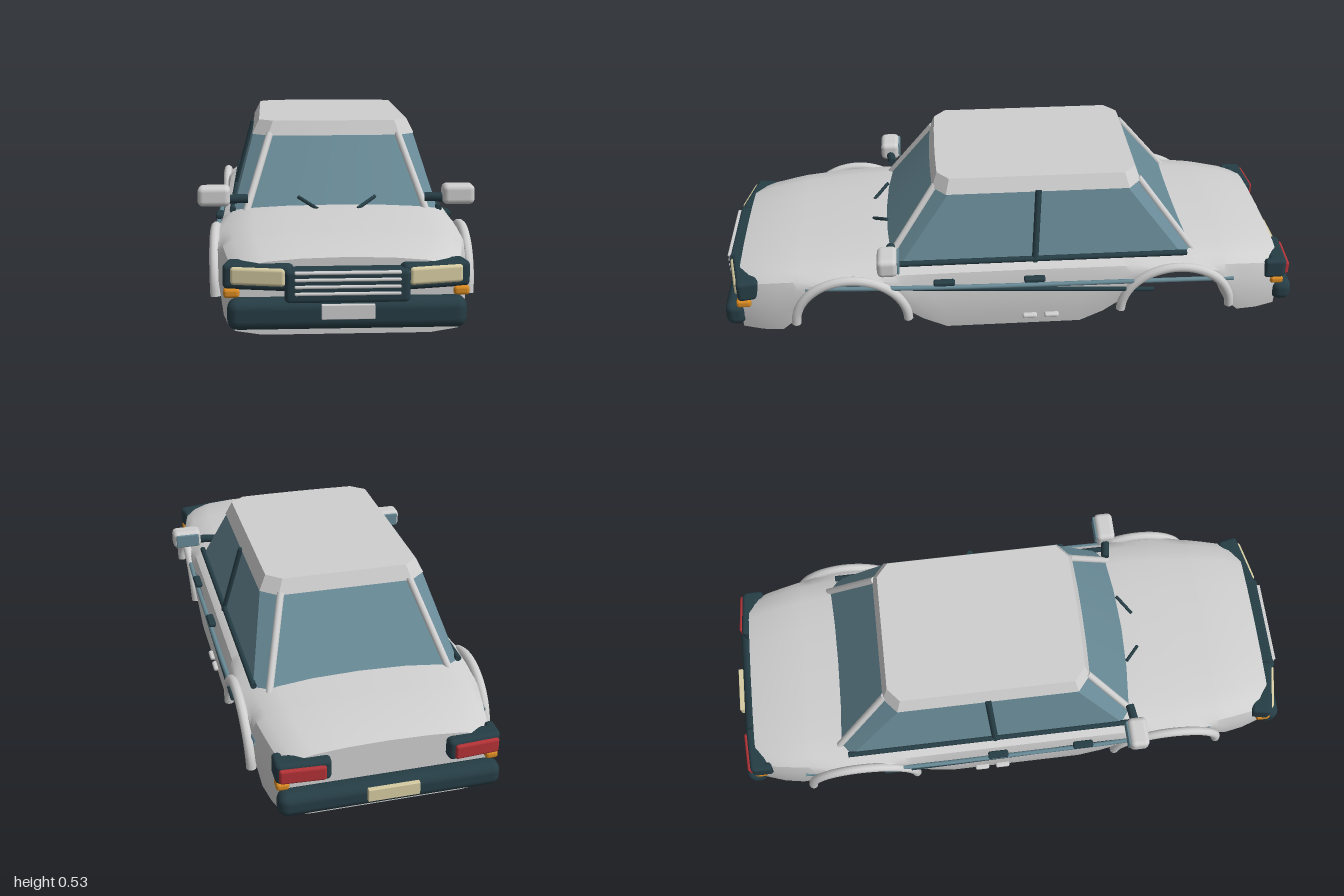
import * as THREE from 'three';
import { toCreasedNormals } from 'three/addons/utils/BufferGeometryUtils.js';
import { RoundedBoxGeometry } from 'three/addons/geometries/RoundedBoxGeometry.js';

const mat = (name, color) => Object.assign(new THREE.MeshStandardMaterial({ color }), { name });

// Piecewise linear lookup in a list of [position, value]
function lookup(list, t) {
  for (let i = 1; i < list.length; i++) {
    const [a, u] = list[i - 1], [b, v] = list[i];
    if (t <= b) return u + (v - u) * (t - a) / (b - a);
  }
  return list[list.length - 1][1];
}

// Skin closed rings of points and cap both ends
function loft(rings, crease) {
  const n = rings[0].length, pos = [], idx = [];
  rings.forEach(r => r.forEach(p => pos.push(...p)));
  for (let i = 0; i < rings.length - 1; i++) {
    for (let j = 0; j < n; j++) {
      const a = i * n + j, b = i * n + (j + 1) % n;
      idx.push(a, b, b + n, a, b + n, a + n);
    }
  }
  [0, rings.length - 1].forEach(k => {
    const c = pos.length / 3;
    pos.push(...[0, 1, 2].map(q => rings[k].reduce((s, p) => s + p[q], 0) / n));
    for (let j = 0; j < n; j++) {
      const a = k * n + j, b = k * n + (j + 1) % n;
      if (k) idx.push(c, a, b); else idx.push(c, b, a);
    }
  });
  const g = new THREE.BufferGeometry();
  g.setAttribute('position', new THREE.Float32BufferAttribute(pos, 3));
  g.setIndex(idx);
  return toCreasedNormals(g, crease);
}

// Complete a half outline whose first and last points lie on x = 0
const mirrorRing = half => [...half, ...half.slice(1, -1).reverse().map(([x, y, z]) => [-x, y, z])];

function bodyGeometry() {
  const width = [[0, .385], [.6, .385], [.75, .372], [.86, .35], [.93, .325]];
  const crown = [[0, .278], [.45, .276], [.6, .268], [.75, .257], [.87, .24], [.93, .225]];
  const floor = [[0, 0], [.23, 0], [.31, .04], [.375, .09]];
  for (let i = 1; i < 12; i++) {
    const a = Math.PI * i / 12;
    floor.push([.555 - .178 * Math.cos(a), .065 + .145 * Math.sin(a)]);
  }
  floor.push([.74, .055], [.79, .005], [.86, 0], [.93, 0]);
  const half = floor.map(f => f[0]);
  const stations = [...half.slice(1).reverse().map(z => -z), ...half];
  return loft(stations.map(z => {
    const d = Math.abs(z), w = lookup(width, d), top = lookup(crown, d), b = lookup(floor, d);
    const s = top - .045, y = t => b + (s - b) * t;
    return mirrorRing([
      [0, b, z], [.74 * w, b, z], [.98 * w, y(.07), z], [w, y(.35), z], [.992 * w, y(.75), z],
      [.96 * w, s, z], [.88 * w, top - .024, z], [.7 * w, top - .011, z], [.4 * w, top - .003, z], [0, top, z]
    ]);
  }), .6);
}

// Outline of the cabin at one height, with cut corners
const cabinRing = (y, edge, w, front, rear, cut, bulge) => mirrorRing([
  [0, y, front + bulge], [edge * .5, y, front + bulge * .75], [edge, y, front], [w, y, front - cut],
  [w, y, rear + cut], [edge, y, rear], [0, y, rear]
]);

export function createModel() {
  const car = new THREE.Group();
  car.name = 'carBody';
  const paint = mat('lightGreyPaint', 0xcfcfcf);
  const glass = mat('blueGlass', 0x678995);
  const dark = mat('darkTrim', 0x263d45);
  const cream = mat('creamLens', 0xd6cca2);
  const orange = mat('orangeLens', 0xd98a22);
  const red = mat('redLens', 0xb23236);

  const add = (name, geometry, material) => {
    const m = new THREE.Mesh(geometry, material);
    m.name = name;
    car.add(m);
    return m;
  };
  const box = (name, material, [w, h, d], [x, y, z], r = .01, turn = 0) => {
    const m = add(name, new RoundedBoxGeometry(w, h, d, 3, Math.min(r, w / 2, h / 2, d / 2)), material);
    m.position.set(x, y, z);
    m.rotation.y = turn;
    return m;
  };
  const rod = (name, material, a, b, r) => {
    const p = new THREE.Vector3(...a), q = new THREE.Vector3(...b), dir = q.clone().sub(p);
    const m = add(name, new THREE.CylinderGeometry(r, r, dir.length(), 12), material);
    m.position.copy(p).add(q).multiplyScalar(.5);
    m.quaternion.setFromUnitVectors(new THREE.Vector3(0, 1, 0), dir.normalize());
    return m;
  };
  const tube = (name, material, points, r) => {
    const curve = new THREE.CatmullRomCurve3(points.map(p => new THREE.Vector3(...p)));
    const m = add(name, new THREE.TubeGeometry(curve, 36, r, 10), material);
    m.material.side = THREE.DoubleSide;
    return m;
  };

  // Shell, glasshouse and roof
  add('body', bodyGeometry(), paint);
  add('windows', loft([
    cabinRing(.23, .3, .343, .435, -.635, .04, .03),
    cabinRing(.485, .215, .272, .255, -.435, .045, .01)
  ], .3), glass);
  add('roof', loft([
    cabinRing(.482, .222, .275, .264, -.442, .045, .006),
    cabinRing(.53, .205, .252, .247, -.422, .04, .004)
  ], .3), paint);

  // Nose: bumper, grille and plate
  box('frontBumper', dark, [.68, .09, .07], [0, .07, .95], .03);
  box('grille', dark, [.355, .1, .07], [0, .15, .945], .015);
  for (let i = 0; i < 4; i++) box('grilleBar', paint, [.3, .009, .016], [0, .132 + i * .02, .979], .004);
  box('frontPlate', paint, [.15, .042, .016], [0, .083, .99], .002);

  // Tail: bumper and plate
  box('rearBumper', dark, [.69, .078, .07], [0, .073, -.95], .03);
  box('rearPlate', cream, [.16, .042, .016], [0, .085, -.99], .002);

  for (const s of [1, -1]) {
    // Lamps wrap back toward the flanks
    box('headlampHousing', dark, [.2, .075, .075], [s * .25, .172, .914], .015, s * .2);
    box('headlamp', cream, [.158, .052, .03], [s * .252, .176, .944], .01, s * .2);
    box('frontIndicator', orange, [.046, .028, .05], [s * .328, .124, .915], .01);
    box('tailLampHousing', dark, [.165, .07, .06], [s * .262, .172, -.927], .015, -s * .06);
    box('tailLampReturn', dark, [.03, .07, .07], [s * .332, .172, -.912], .012);
    box('tailLamp', red, [.14, .048, .024], [s * .268, .17, -.955], .008, -s * .06);
    box('rearIndicator', orange, [.04, .026, .045], [s * .325, .124, -.925], .01);

    // Pillars and belt rail
    rod('frontPillar', paint, [s * .3, .235, .432], [s * .216, .487, .255], .012);
    rod('rearPillar', paint, [s * .298, .235, -.63], [s * .214, .487, -.435], .012);
    rod('centrePillar', dark, [s * .34, .245, -.075], [s * .275, .487, -.09], .011);
    rod('beltRail', dark, [s * .339, .256, .405], [s * .339, .256, -.595], .01);

    // Door mirror
    rod('mirrorArm', dark, [s * .29, .296, .41], [s * .36, .296, .42], .015);
    box('mirror', paint, [.105, .066, .068], [s * .398, .308, .42], .018);
    box('mirrorGlass', glass, [.085, .048, .008], [s * .398, .308, .385], .003);

    // Wheel arch trims
    for (const zc of [.55, -.56]) {
      const pts = [];
      for (let i = 0; i <= 14; i++) {
        const a = Math.PI * i / 14;
        pts.push([s * (.382 + .006 * Math.sin(a)), .062 + .167 * Math.sin(a), zc + .19 * Math.cos(a)]);
      }
      tube('wheelArchTrim', paint, pts, .016);
    }

    // Flank strips, handles and sill vents
    tube('sideStrip', glass, [[.368, .19, .7], [.388, .192, .4], [.39, .185, 0], [.388, .18, -.4], [.366, .16, -.76]]
      .map(([x, y, z]) => [s * x, y, z]), .008);
    rod('lowerSideStrip', dark, [s * .387, .188, .34], [s * .387, .143, -.48], .008);
    for (const z of [.235, -.07]) box('doorHandle', dark, [.026, .018, .072], [s * .388, .207, z], .007);
    for (const z of [-.055, -.13]) box('sillVent', paint, [.024, .016, .05], [s * .386, .055, z], .007);

    // Wiper
    rod('wiper', dark, [s * .065, .272, .475], [s * .125, .302, .425], .006);
  }
  return car;
}
